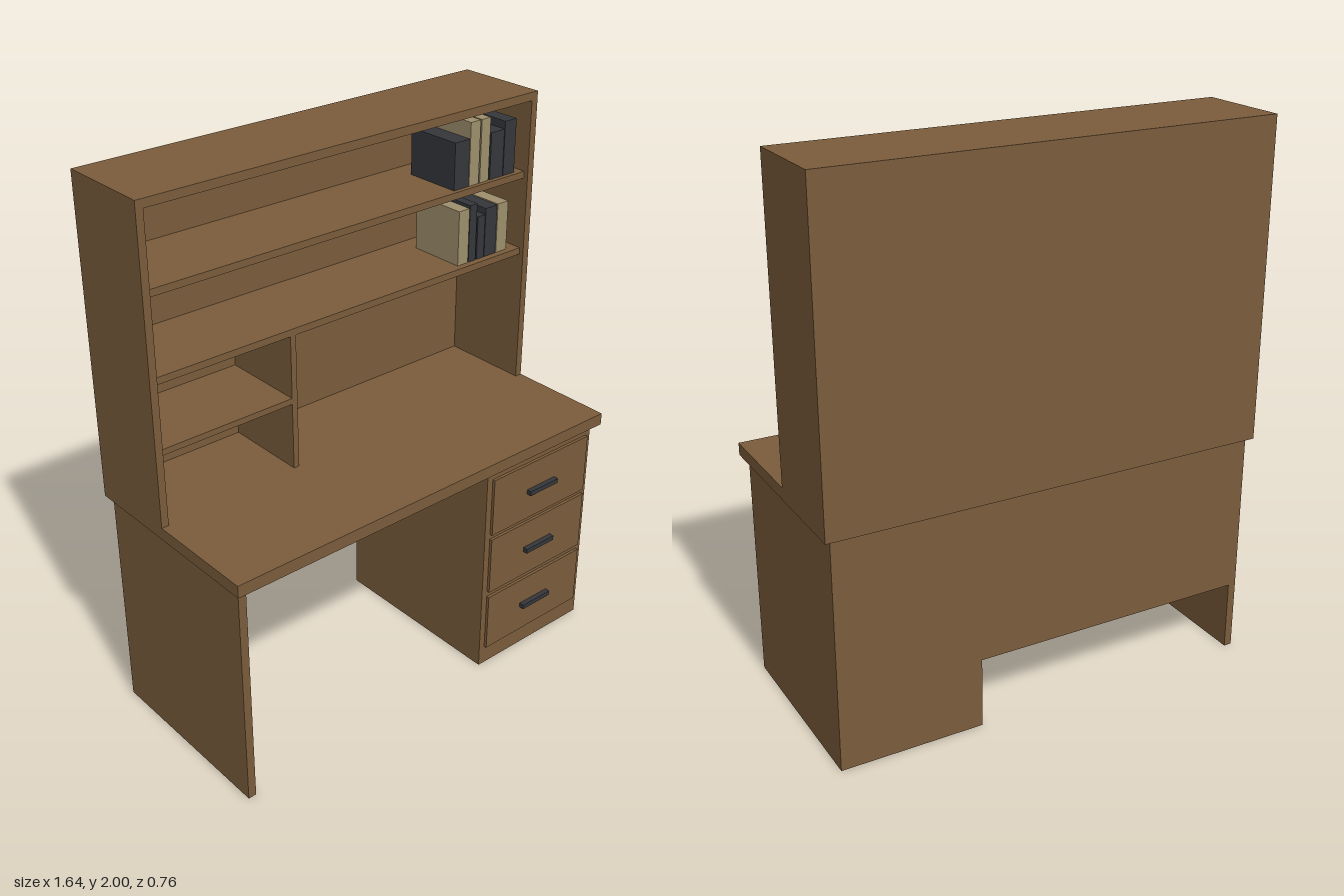
import * as THREE from 'three';

export function createModel() {
  const desk = new THREE.Group();
  desk.name = 'deskWithHutch';

  const wood = new THREE.MeshStandardMaterial({ color: 0x7a5c3b });
  wood.name = 'brownWood';
  wood.side = THREE.DoubleSide;
  const dark = new THREE.MeshStandardMaterial({ color: 0x35373b });
  dark.name = 'charcoal';
  const beige = new THREE.MeshStandardMaterial({ color: 0x9e8f6d });
  beige.name = 'beige';

  // Box given by its extents on each axis
  function board(parent, name, x, y, z, material = wood) {
    const geometry = new THREE.BoxGeometry(x[1] - x[0], y[1] - y[0], z[1] - z[0]);
    const mesh = new THREE.Mesh(geometry, material);
    mesh.position.set((x[0] + x[1]) / 2, (y[0] + y[1]) / 2, (z[0] + z[1]) / 2);
    mesh.name = name;
    parent.add(mesh);
    return mesh;
  }

  function section(name) {
    const group = new THREE.Group();
    group.name = name;
    desk.add(group);
    return group;
  }

  // Worktop, leg panel and back panel
  board(desk, 'worktop', [-0.82, 0.82], [0.85, 0.895], [-0.38, 0.38]);
  board(desk, 'legPanel', [-0.8, -0.77], [0, 0.85], [-0.36, 0.35]);
  board(desk, 'backPanel', [-0.77, 0.27], [0.26, 0.85], [-0.36, -0.34]);

  // Drawer pedestal: a shell open at the bottom
  const pedestal = section('drawerPedestal');
  const shell = board(pedestal, 'pedestalShell', [0.27, 0.797], [0, 0.85], [-0.36, 0.35]);
  const faces = Array.from(shell.geometry.index.array);
  faces.splice(18, 6);
  shell.geometry.setIndex(faces);
  shell.geometry.clearGroups();

  // Drawer fronts with bar handles
  [0.19, 0.443, 0.693].forEach((y, i) => {
    board(pedestal, `drawerFront${i + 1}`, [0.295, 0.775], [y - 0.115, y + 0.115], [0.35, 0.361]);
    board(pedestal, `drawerHandle${i + 1}`, [0.465, 0.605], [y - 0.009, y + 0.009], [0.361, 0.38], dark);
  });

  // Hutch frame
  const hutch = section('hutch');
  for (const side of [-1, 1]) {
    const x = [side * 0.82, side * 0.793].sort((a, b) => a - b);
    board(hutch, side > 0 ? 'leftSide' : 'rightSide', x, [0.895, 2], [-0.38, -0.03]);
  }
  board(hutch, 'hutchTop', [-0.793, 0.793], [1.97, 2], [-0.38, -0.03]);
  board(hutch, 'hutchBack', [-0.793, 0.793], [0.895, 1.97], [-0.38, -0.37]);

  // Shelves and divider, set slightly back from the frame
  const depth = [-0.37, -0.048];
  board(hutch, 'upperShelf', [-0.793, 0.793], [1.685, 1.71], depth);
  board(hutch, 'lowerShelf', [-0.793, 0.793], [1.393, 1.418], depth);
  board(hutch, 'smallShelf', [-0.793, -0.27], [1.143, 1.165], depth);
  board(hutch, 'divider', [-0.27, -0.248], [0.895, 1.393], depth);

  // Books: left edge, right edge, top height, cover
  const books = section('books');
  const rows = [
    { y: 1.71, z: -0.065, items: [
      [0.465, 0.533, 1.88, dark], [0.536, 0.582, 1.937, beige], [0.588, 0.63, 1.937, beige],
      [0.637, 0.7, 1.88, dark], [0.703, 0.758, 1.907, dark]] },
    { y: 1.418, z: -0.073, items: [
      [0.503, 0.552, 1.622, beige], [0.555, 0.59, 1.632, dark], [0.596, 0.631, 1.58, dark],
      [0.634, 0.69, 1.602, dark], [0.694, 0.746, 1.604, beige]] },
  ];
  for (const row of rows) {
    for (const [x0, x1, top, cover] of row.items) {
      board(books, 'book', [x0, x1], [row.y, top], [row.z - 0.22, row.z], cover);
    }
  }

  return desk;
}
